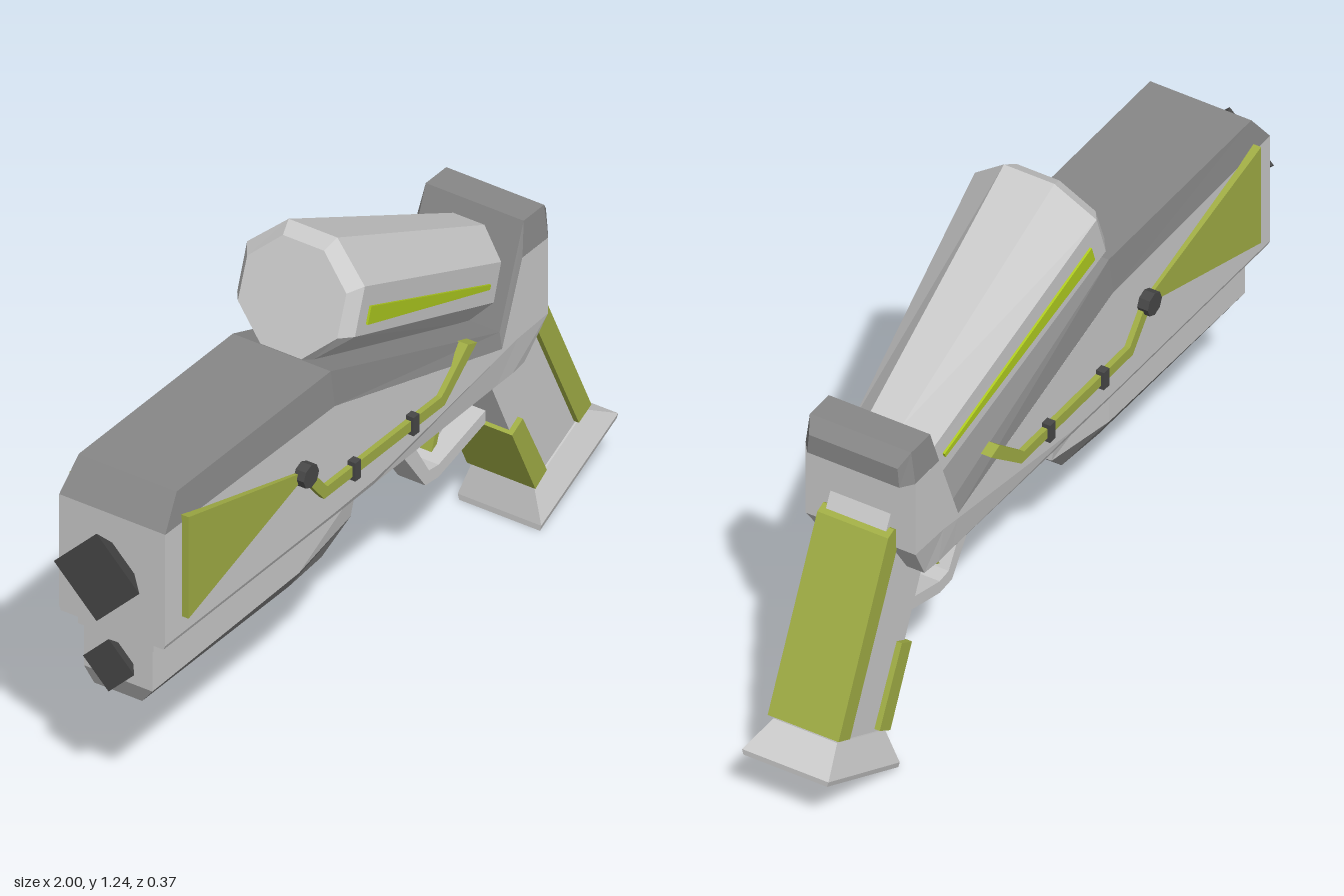
import * as THREE from 'three';

const mat = (name, color) => {
  const m = new THREE.MeshStandardMaterial({ color });
  m.name = name;
  return m;
};

const facet = (geo) => {
  const g = geo.index ? geo.toNonIndexed() : geo;
  g.computeVertexNormals();
  return g;
};

// Closed solid through a row of rings with equal point counts, flat faces.
function loft(rings) {
  const n = rings[0].length, last = rings.length - 1, tris = [];
  for (let i = 0; i < last; i++) {
    for (let j = 0; j < n; j++) {
      const k = (j + 1) % n;
      const a = rings[i][j], b = rings[i][k], c = rings[i + 1][k], d = rings[i + 1][j];
      tris.push([a, b, c], [a, c, d]);
    }
  }
  for (let j = 1; j < n - 1; j++) {
    tris.push([rings[0][0], rings[0][j + 1], rings[0][j]]);
    tris.push([rings[last][0], rings[last][j], rings[last][j + 1]]);
  }
  // turn the faces outwards using the signed volume
  let volume = 0;
  for (const [a, b, c] of tris) {
    volume += new THREE.Vector3(...a).dot(new THREE.Vector3(...b).cross(new THREE.Vector3(...c)));
  }
  if (volume < 0) tris.forEach((t) => t.reverse());
  const geo = new THREE.BufferGeometry();
  geo.setAttribute('position', new THREE.Float32BufferAttribute(tris.flat(2), 3));
  return facet(geo);
}

// Symmetric band: each row is [lowX, lowY, lowHalfWidth, highX, highY, highHalfWidth].
const band = (rows) => loft(rows.map(([lx, ly, lz, hx, hy, hz]) =>
  [[lx, ly, lz], [hx, hy, hz], [hx, hy, -hz], [lx, ly, -lz]]));

// Side outline extruded from z0 to z1.
function prism(points, z0, z1) {
  const shape = new THREE.Shape(points.map((p) => new THREE.Vector2(...p)));
  const g = new THREE.ExtrudeGeometry(shape, { depth: z1 - z0, bevelEnabled: false });
  return facet(g.translate(0, 0, z0));
}

export function createModel() {
  const light = mat('light grey', 0xcacaca);
  const dark = mat('dark grey', 0x888888);
  const green = mat('olive green', 0xa1ae45);
  const bright = mat('bright green', 0xb0cc20);
  const black = mat('charcoal', 0x484848);

  const model = new THREE.Group();
  model.name = 'blaster';
  const add = (name, geo, material) => {
    const m = new THREE.Mesh(geo, material);
    m.name = name;
    model.add(m);
    return m;
  };

  // Main body: light flanks, tapered belly, dark top rim that climbs the rear post
  const W = 0.155;
  add('bodySides', band([
    [-0.935, 0.552, W, -0.935, 0.87, W],
    [-0.23, 0.555, W, -0.23, 0.86, W],
    [-0.06, 0.56, W, -0.06, 0.808, W],
    [0.465, 0.635, W, 0.465, 0.65, W],
    [0.53, 0.645, W, 0.55, 0.866, W],
    [0.657, 0.65, W, 0.657, 0.866, W],
  ]), light);
  add('bodyBelly', band([
    [-0.935, 0.54, 0.15, -0.935, 0.552, W],
    [-0.23, 0.54, 0.148, -0.23, 0.555, W],
    [-0.06, 0.54, 0.146, -0.06, 0.56, W],
    [0.465, 0.54, 0.14, 0.465, 0.635, W],
    [0.53, 0.54, 0.14, 0.53, 0.645, W],
    [0.585, 0.54, 0.135, 0.657, 0.65, W],
  ]), light);
  add('bodyTopRim', band([
    [-0.935, 0.87, W, -0.87, 0.955, 0.143],
    [-0.23, 0.86, W, -0.23, 0.955, 0.143],
    [0.465, 0.65, W, 0.472, 0.69, 0.143],
    [0.55, 0.865, W, 0.572, 0.955, 0.143],
    [0.657, 0.865, W, 0.657, 0.955, 0.143],
    [0.69, 0.865, 0.13, 0.69, 0.92, 0.125],
  ]), dark);

  // Flared four-sided muzzles
  for (const [name, x, y, len, r0, r1] of [
    ['upperMuzzle', -1, 0.725, 0.07, 0.125, 0.06],
    ['lowerMuzzle', -0.95, 0.447, 0.045, 0.075, 0.04],
  ]) {
    const g = new THREE.CylinderGeometry(r0, r1, len, 4).rotateZ(Math.PI / 2);
    add(name, facet(g.translate(x + len / 2, y, 0)), black);
  }

  // Lower barrel with its rail and dark keel
  add('lowerBarrelRail', band([
    [-0.92, 0.51, 0.11, -0.92, 0.542, 0.11],
    [-0.06, 0.51, 0.11, -0.06, 0.542, 0.11],
  ]), light);
  add('lowerBarrel', band([
    [-0.91, 0.388, 0.1, -0.91, 0.512, 0.1],
    [-0.3, 0.4, 0.1, -0.3, 0.512, 0.1],
    [-0.065, 0.43, 0.085, -0.065, 0.512, 0.1],
  ]), light);
  add('lowerBarrelKeel', band([
    [-0.91, 0.35, 0.07, -0.91, 0.388, 0.1],
    [-0.3, 0.35, 0.07, -0.3, 0.4, 0.1],
    [-0.15, 0.35, 0.06, -0.065, 0.43, 0.085],
  ]), dark);

  // Tapered octagonal canister; rows are centre, half-height direction, half-width
  const octagon = ([cx, cy, ux, uy, w]) => Array.from({ length: 8 }, (_, i) => {
    const a = Math.PI / 8 + (i * Math.PI) / 4, s = 1 / Math.cos(Math.PI / 8);
    const c = Math.cos(a) * s;
    return [cx + ux * c, cy + uy * c, Math.sin(a) * s * w];
  });
  add('canister', loft([
    [-0.187, 1.09, 0.047, 0.13, 0.145],
    [-0.15, 1.093, 0.05, 0.1475, 0.172],
    [0.51, 0.8, 0.0375, 0.12, 0.11],
  ].map(octagon)), light);

  // Grip, pads and foot
  add('grip', prism([[0.49, 0.55], [0.655, 0.75], [0.7, 0.66], [0.9, 0.215], [0.69, 0.115]], -0.085, 0.085), light);
  add('gripRearPad', prism([[0.63, 0.69], [0.665, 0.71], [0.692, 0.7], [0.915, 0.23], [0.863, 0.205]], -0.1, 0.1), green);
  add('gripFrontPad', prism([[0.585, 0.318], [0.63, 0.342], [0.73, 0.142], [0.682, 0.113]], -0.1, 0.1), green);
  add('gripFoot', band([
    [0.69, 0.115, 0.09, 0.905, 0.217, 0.09],
    [0.675, 0.02, 0.122, 0.995, 0.17, 0.122],
    [0.675, 0.004, 0.118, 0.995, 0.155, 0.118],
  ]), light);

  // Trigger and guard
  add('triggerGuard', prism([
    [0.135, 0.545], [0.31, 0.3], [0.365, 0.295], [0.56, 0.345], [0.56, 0.38],
    [0.365, 0.33], [0.325, 0.335], [0.225, 0.5], [0.21, 0.545],
  ], -0.04, 0.04), light);
  add('trigger', prism([
    [0.37, 0.545], [0.395, 0.46], [0.37, 0.385], [0.425, 0.42], [0.465, 0.475], [0.47, 0.545],
  ], -0.025, 0.025), light);
  add('triggerFace', prism([
    [0.355, 0.545], [0.38, 0.46], [0.35, 0.37], [0.372, 0.382], [0.398, 0.46], [0.375, 0.545],
  ], -0.03, 0.03), green);

  // Side fittings, on both flanks
  const stripe = [[-0.12, 1.04, 0.168], [0.465, 0.806, 0.114], [0.47, 0.818, 0.114], [-0.105, 1.085, 0.168]];
  for (const s of [1, -1]) {
    const side = s > 0 ? 'left' : 'right';
    const span = (z0, z1) => (s > 0 ? [z0, z1] : [-z1, -z0]);
    add(side + 'Fin', loft([0.15, null].map((z) => [
      [-0.865, 0.6, s * (z ?? 0.174)], [-0.37, 0.735, s * (z ?? 0.164)],
      [-0.37, 0.75, s * (z ?? 0.164)], [-0.865, 0.89, s * (z ?? 0.174)],
    ])), green);
    add(side + 'Pipe', prism([
      [-0.38, 0.735], [-0.295, 0.635], [0.205, 0.635], [0.34, 0.742], [0.303, 0.755],
      [0.193, 0.664], [-0.282, 0.664], [-0.355, 0.75],
    ], ...span(0.14, 0.17)), green);
    const knob = new THREE.CylinderGeometry(0.032, 0.032, 0.04, 8).rotateX(Math.PI / 2);
    add(side + 'Knob', facet(knob.translate(-0.37, 0.745, s * 0.165)), black);
    for (const x of [-0.165, 0.077]) {
      add(side + 'Clip', facet(new THREE.BoxGeometry(0.024, 0.052, 0.03).translate(x, 0.65, s * 0.163)), black);
    }
    add(side + 'CanisterStripe', loft([0, 0.006].map((d) =>
      stripe.map(([x, y, z]) => [x, y, s * (z + d)]))), bright);
  }
  return model;
}
